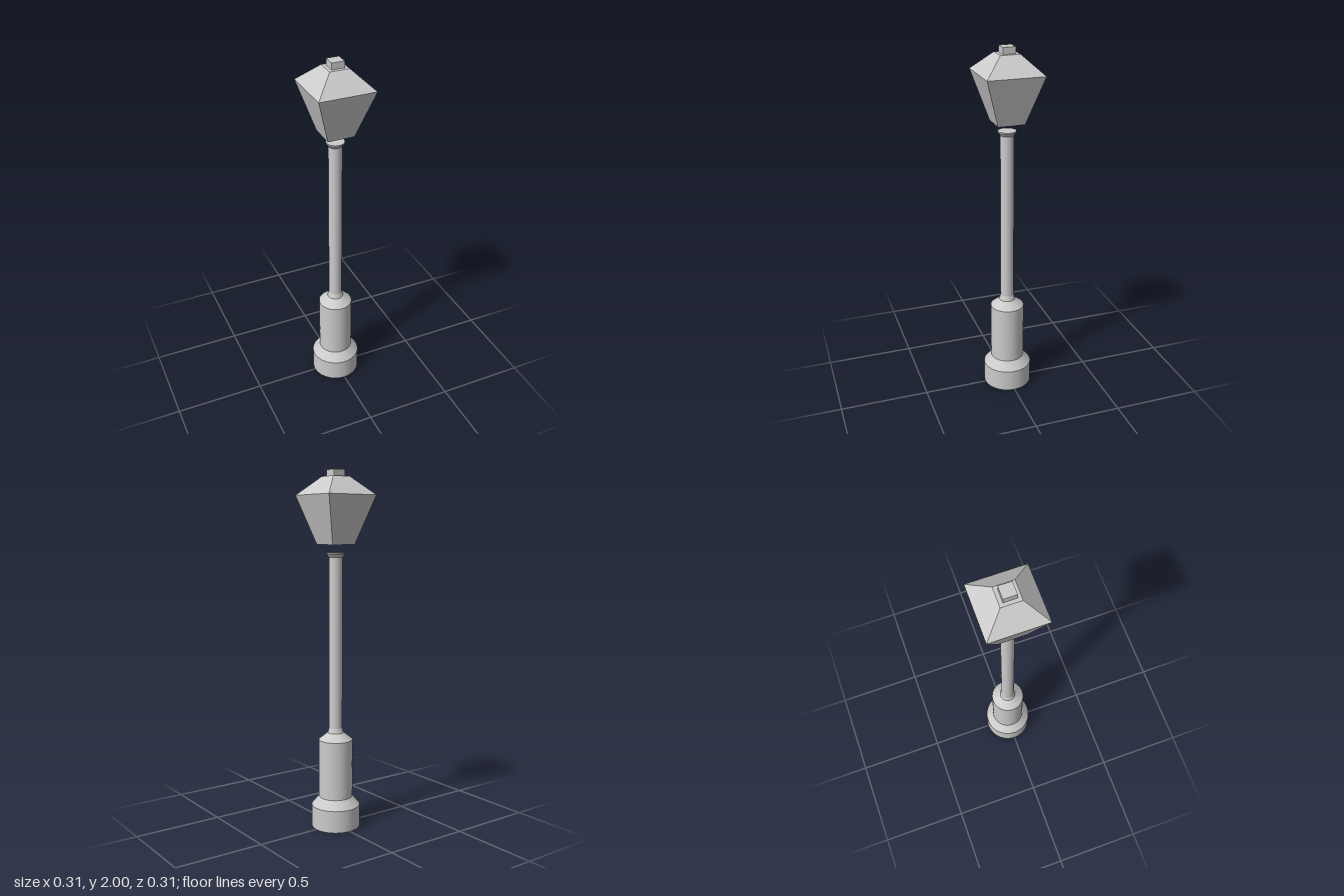
import * as THREE from 'three';

const material = new THREE.MeshStandardMaterial({ color: 0xcccccc });
const flatMaterial = new THREE.MeshStandardMaterial({ color: 0xcccccc, flatShading: true });

// Stack of smooth round sections with crisp edges between them; profile is [radius, y] from bottom to top
function roundStack(name, profile) {
  const group = new THREE.Group();
  group.name = name;
  for (let i = 0; i < profile.length - 1; i++) {
    const [r0, y0] = profile[i];
    const [r1, y1] = profile[i + 1];
    const section = new THREE.Mesh(new THREE.CylinderGeometry(r1, r0, y1 - y0, 48, 1, true), material);
    section.position.y = (y0 + y1) / 2;
    section.name = `${name}Section${i + 1}`;
    group.add(section);
  }
  // Close both ends
  [profile[0], profile[profile.length - 1]].forEach(([r, y], i) => {
    const cap = new THREE.Mesh(new THREE.CircleGeometry(r, 48), material);
    cap.rotation.x = i ? -Math.PI / 2 : Math.PI / 2;
    cap.position.y = y;
    cap.name = name + (i ? 'Top' : 'Bottom');
    group.add(cap);
  });
  return group;
}

// Square frustum given by half widths and heights at bottom and top
function squareFrustum(name, half0, y0, half1, y1) {
  const geometry = new THREE.CylinderGeometry(half1 * Math.SQRT2, half0 * Math.SQRT2, y1 - y0, 4);
  geometry.rotateY(Math.PI / 4);
  const mesh = new THREE.Mesh(geometry, flatMaterial);
  mesh.position.y = (y0 + y1) / 2;
  mesh.name = name;
  return mesh;
}

export function createModel() {
  const model = new THREE.Group();
  model.name = 'streetLamp';

  // Stepped foot, pedestal, slim pole and flared collar
  model.add(roundStack('post', [
    [0.137, 0], [0.137, 0.126], [0.095, 0.175], [0.095, 0.507], [0.045, 0.547],
    [0.037, 0.575], [0.037, 1.53], [0.05, 1.548], [0.05, 1.555],
  ]));

  // Lantern floating just above the collar
  const lantern = new THREE.Group();
  lantern.name = 'lantern';
  lantern.add(
    squareFrustum('lanternGlass', 0.074, 1.6, 0.157, 1.865),
    squareFrustum('lanternRoof', 0.157, 1.865, 0.054, 1.964),
    squareFrustum('lanternCap', 0.035, 1.964, 0.035, 2),
  );
  model.add(lantern);
  return model;
}
